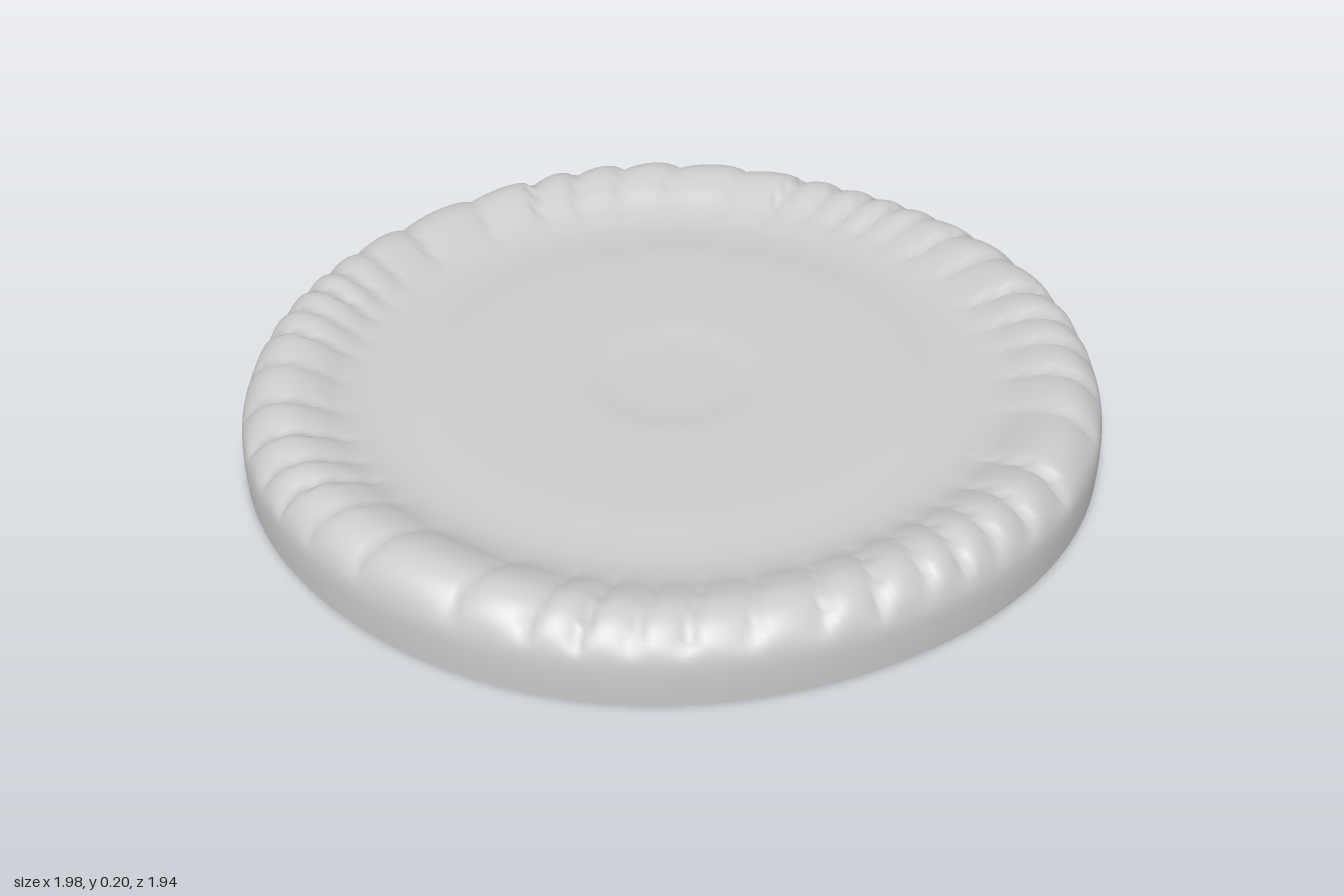
import * as THREE from 'three';
import { mergeVertices } from 'three/addons/utils/BufferGeometryUtils.js';

const CRIMPS = 44;

// Smooth radial section: bottom of outer wall -> crimped crest -> floor centre
function sectionPoints() {
  const keys = [
    [0.982, 0.0], [0.985, 0.06], [0.982, 0.11], [0.965, 0.15], [0.93, 0.18],
    [0.88, 0.191], [0.82, 0.176], [0.76, 0.148], [0.70, 0.134], [0.62, 0.134],
    [0.54, 0.141], [0.38, 0.142], [0.22, 0.143], [0.15, 0.136], [0.07, 0.134], [0, 0.134],
  ].map(([r, y]) => new THREE.Vector3(r, y, 0));
  return new THREE.CatmullRomCurve3(keys).getPoints(54).map(p => new THREE.Vector2(Math.max(p.x, 0), p.y));
}

// Uneven pinches: each crimp is a rounded lobe ending in a sharp crease
function crimpAt(angle) {
  const t = (angle / (2 * Math.PI)) * CRIMPS + 0.5 * Math.sin(3 * angle + 1) + 0.3 * Math.sin(7 * angle);
  const f = t - Math.floor(t);
  const id = ((Math.floor(t) % CRIMPS) + CRIMPS) % CRIMPS;
  const size = 0.75 + 0.35 * Math.sin(id * 2.4) * Math.cos(id * 1.3);
  return { lobe: Math.pow(Math.sin(Math.PI * Math.pow(f, 0.7)), 0.6), size };
}

function crustGeometry() {
  const geo = new THREE.LatheGeometry(sectionPoints(), CRIMPS * 9);
  const pos = geo.attributes.position;
  for (let i = 0; i < pos.count; i++) {
    let x = pos.getX(i), y = pos.getY(i), z = pos.getZ(i);
    const r = Math.hypot(x, z);
    const a = Math.atan2(x, z);
    // pinches act on the raised rim only, slanting slightly across it
    const onRim = THREE.MathUtils.smoothstep(r, 0.7, 0.84) * THREE.MathUtils.smoothstep(y, 0.105, 0.165);
    const { lobe, size } = crimpAt(a + (r - 0.88) * 0.25);
    const dip = (1 - lobe) * size * onRim;
    y -= 0.024 * dip;
    y += onRim * (0.006 * Math.sin(5 * a + 2) - 0.012 * Math.max(0, Math.sin(a)) ** 4);
    // slightly irregular, hand-shaped outline
    const wobble = 1 + r * r * (0.006 * Math.sin(2 * a + 0.4) + 0.004 * Math.sin(5 * a)) - 0.012 * dip;
    x *= wobble * 1.008;
    z *= wobble * 0.98;
    pos.setXYZ(i, x, y, z);
  }
  // weld the seam so the shading stays smooth all around
  geo.deleteAttribute('uv');
  geo.deleteAttribute('normal');
  const welded = mergeVertices(geo, 1e-5);
  welded.computeVertexNormals();
  return welded;
}

export function createModel() {
  const group = new THREE.Group();
  group.name = 'pieCrust';
  // one thin shell, open underneath
  const material = new THREE.MeshStandardMaterial({ color: 0xcccccc, side: THREE.DoubleSide });
  const crust = new THREE.Mesh(crustGeometry(), material);
  crust.name = 'crimpedCrust';
  group.add(crust);
  return group;
}
